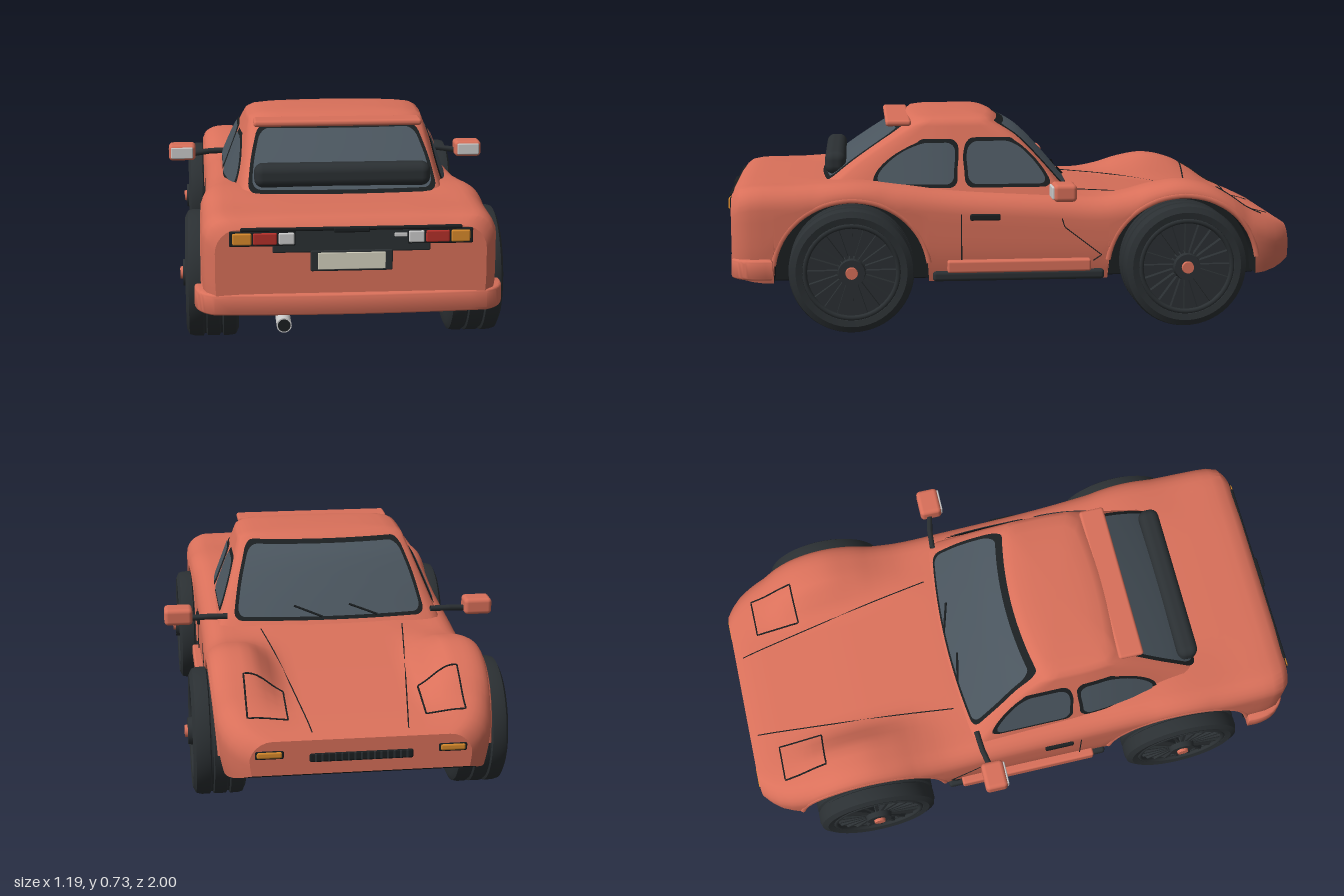
import * as THREE from 'three';
import { toCreasedNormals } from 'three/addons/utils/BufferGeometryUtils.js';
import { RoundedBoxGeometry } from 'three/addons/geometries/RoundedBoxGeometry.js';

const mat = (color) => new THREE.MeshStandardMaterial({ color, side: THREE.DoubleSide });
const PAINT = mat(0xd9705a), DARK = mat(0x2b3033), BLACK = mat(0x1b1f21), GLASS = mat(0x4a555e);
const AMBER = mat(0xd98a2b), RED = mat(0xb5302a), GREY = mat(0xcccccc), CREAM = mat(0xd6d3c0);
const V = (x, y, z) => new THREE.Vector3(x, y, z);

// smooth lookup in a table of [position, value]
function curve(t, tab) {
  const n = tab.length - 1;
  if (t <= tab[0][0]) return tab[0][1];
  if (t >= tab[n][0]) return tab[n][1];
  let i = 0;
  while (t > tab[i + 1][0]) i++;
  const slope = (j) => {
    const a = tab[Math.max(j - 1, 0)], b = tab[Math.min(j + 1, n)];
    return (b[1] - a[1]) / (b[0] - a[0]);
  };
  const [x0, y0] = tab[i], [x1, y1] = tab[i + 1], h = x1 - x0, s = (t - x0) / h, s2 = s * s, s3 = s2 * s;
  return (2 * s3 - 3 * s2 + 1) * y0 + (s3 - 2 * s2 + s) * h * slope(i)
    + (3 * s2 - 2 * s3) * y1 + (s3 - s2) * h * slope(i + 1);
}

// skin through rows of points
function loft(rows, closed = false, crease = 0.6) {
  const n = rows[0].length, pos = rows.flat().flatMap((p) => [p.x, p.y, p.z]), idx = [];
  for (let r = 0; r < rows.length - 1; r++)
    for (let c = 0; c < (closed ? n : n - 1); c++) {
      const a = r * n + c, b = r * n + (c + 1) % n;
      idx.push(a, b, a + n, b, b + n, a + n);
    }
  const g = new THREE.BufferGeometry();
  g.setAttribute('position', new THREE.Float32BufferAttribute(pos, 3));
  g.setIndex(idx);
  return toCreasedNormals(g, crease);
}

// body shape along z: centre height, fender height, half width, underside
const ARCHES = [0.56, -0.6], ARCH_R = 0.265, ARCH_Y = 0.2;
const centreY = (z) => curve(z, [[-1, 0.325], [-0.95, 0.345], [-0.8, 0.375], [-0.6, 0.41], [-0.4, 0.435], [-0.2, 0.457], [0.3, 0.48], [0.65, 0.5], [0.9, 0.5], [0.95, 0.492], [0.97, 0.47]]);
const fenderY = (z) => curve(z, [[-1, 0.325], [-0.95, 0.348], [-0.85, 0.392], [-0.78, 0.44], [-0.7, 0.482], [-0.6, 0.502], [-0.5, 0.488], [-0.4, 0.46], [-0.3, 0.446], [-0.15, 0.455], [0.2, 0.475], [0.4, 0.497], [0.55, 0.51], [0.75, 0.5], [0.9, 0.498], [0.95, 0.488], [0.97, 0.465]]);
const halfW = (z) => curve(z, [[-1, 0.36], [-0.97, 0.395], [-0.92, 0.43], [-0.83, 0.455], [-0.6, 0.465], [-0.2, 0.46], [0.3, 0.462], [0.6, 0.472], [0.88, 0.472], [0.94, 0.46], [0.97, 0.43]]);
const floorY = (z) => curve(z, [[-1, 0.21], [-0.95, 0.185], [-0.87, 0.168], [0.85, 0.168], [0.97, 0.19]]);
const deckY = (x, z) => THREE.MathUtils.lerp(centreY(z), fenderY(z), THREE.MathUtils.smoothstep(Math.abs(x), 0.2, 0.34));

function section(z) {
  const w = halfW(z), e = fenderY(z), low = floorY(z);
  let arch = low;
  for (const c of ARCHES) {
    const t = (z - c) / ARCH_R;
    if (Math.abs(t) <= 1) arch = Math.max(arch, ARCH_Y + 0.25 * Math.sqrt(1 - t * t));
  }
  const r = Math.min(0.075, e - arch - 0.005);
  const side = (y) => w - 0.02 * (Math.max(0, 0.3 - y) / 0.14) ** 2;
  const under = [V(0, low, z), V(0.335, low, z), V(0.335, arch, z), V(side(arch), arch, z)];
  const skin = [];
  for (let i = 0; i <= 6; i++) { const y = arch + (e - r - arch) * i / 6; skin.push(V(side(y), y, z)); }
  for (let i = 1; i <= 6; i++) { const a = i * Math.PI / 12; skin.push(V(w - 0.075 * (1 - Math.cos(a)), e - r + r * Math.sin(a), z)); }
  for (let i = 12; i >= 0; i--) { const x = (w - 0.075) * i / 12; skin.push(V(x, deckY(x, z) + (x > 0.33 ? e - deckY(x, z) : 0), z)); }
  const mirror = (pts) => pts.slice(0, -1).reverse().map((p) => V(-p.x, p.y, p.z));
  return { skin: [...skin, ...mirror(skin)], under: [...under.slice(1).reverse().map((p) => V(-p.x, p.y, p.z)), ...under] };
}

// cabin shape by height
const frontZ = (y) => curve(y, [[0.45, -0.235], [0.58, -0.125], [0.66, -0.045], [0.705, 0.03]]);
const backZ = (y) => curve(y, [[0.45, 0.715], [0.5, 0.66], [0.58, 0.56], [0.69, 0.39], [0.705, 0.36]]);
const sideX = (z, y) => 0.385 - 0.38 * (y - 0.5) - 0.05 * THREE.MathUtils.smoothstep(z, 0.2, 0.65);
const frontHalf = (y) => sideX(0, y) - 0.035;
const backHalf = (y) => sideX(backZ(y) - 0.05, y) - 0.035;
const onFront = (h, y, d) => V(h, y, frontZ(y) + 0.03 * (h / frontHalf(y)) ** 2 - d);
const onBack = (h, y, d) => V(h, y, backZ(y) - 0.02 * (h / backHalf(y)) ** 2 + d);
const onSide = (m) => (h, y, d) => V(m * (sideX(h, y) + d), y, h);

function cabinRing(y, k = 1) {
  const half = [], zf = frontZ(y), zb = backZ(y);
  for (let i = 0; i <= 6; i++) half.push(onFront(frontHalf(y) * i / 6, y, 0));
  half.push(V(sideX(0, y) - 0.008, y, zf + 0.045));
  for (let i = 0; i <= 8; i++) { const z = zf + 0.07 + (zb - zf - 0.13) * i / 8; half.push(V(sideX(z, y), y, z)); }
  half.push(V(backHalf(y) + 0.027, y, zb - 0.045));
  for (let i = 6; i >= 0; i--) half.push(onBack(backHalf(y) * i / 6, y, 0));
  const ring = [...half, ...half.slice(1, -1).reverse().map((p) => V(-p.x, p.y, p.z))];
  return ring.map((p) => V(p.x * k, p.y, 0.19 + (p.z - 0.19) * k));
}

// curved pane with rounded corners; rows are [height, start, end]
function pane(rows, map, grow, lift) {
  const y0 = rows[0][0] - grow, y1 = rows.at(-1)[0] + grow, c = 0.03, out = [];
  for (let i = 0; i <= 24; i++) {
    const y = y0 + (y1 - y0) * (1 - Math.cos(Math.PI * i / 24)) / 2;
    const k = Math.max(0, 1 - Math.min(y - y0, y1 - y) / c), inset = c * (1 - Math.sqrt(1 - k * k)) - grow;
    const a = curve(y, rows.map((r) => [r[0], r[1]])) + inset, b = curve(y, rows.map((r) => [r[0], r[2]])) - inset;
    out.push(Array.from({ length: 15 }, (_, j) => map(a + (b - a) * j / 14, y, lift)));
  }
  return loft(out);
}

export function createModel() {
  const car = new THREE.Group();
  const add = (name, geo, material, parent = car) => {
    const m = new THREE.Mesh(geo, material);
    m.name = name;
    parent.add(m);
    return m;
  };
  const box = (name, x0, x1, y0, y1, z0, z1, material, r = 0.005) => add(name,
    new RoundedBoxGeometry(x1 - x0, y1 - y0, z1 - z0, 3, r).translate((x0 + x1) / 2, (y0 + y1) / 2, (z0 + z1) / 2), material);
  const line = (name, pts, r = 0.002, material = BLACK) => add(name,
    new THREE.TubeGeometry(new THREE.CatmullRomCurve3(pts, false, 'catmullrom', 0), 32, r, 6), material);
  const both = (fn) => [1, -1].forEach(fn);
  const pair = (name, x0, x1, ...rest) => both((m) => box(name, Math.min(m * x0, m * x1), Math.max(m * x0, m * x1), ...rest));

  // body skin, wheel wells and end caps
  const stations = [-1, -0.985, -0.97, 0.96, 0.97];
  for (let z = -0.94; z < 0.95; z += 0.04) stations.push(z);
  for (const c of ARCHES) {
    for (let i = 0; i <= 20; i++) stations.push(c + ARCH_R * Math.cos(Math.PI * i / 20));
    stations.push(c - ARCH_R - 0.002, c + ARCH_R + 0.002);
  }
  const sections = stations.sort((a, b) => a - b).map(section);
  add('body', loft(sections.map((s) => s.skin)), PAINT);
  add('wheelWells', loft(sections.map((s) => s.under)), BLACK);
  for (const s of [sections[0], sections.at(-1)])
    add('endPanel', loft([s.skin, s.skin.map((p) => V(0, 0.28, p.z))], true), PAINT);
  box('undertray', -0.335, 0.335, 0.152, 0.175, -0.88, 0.86, BLACK);

  // cabin and glass
  const rings = [0.45, 0.48, 0.51, 0.54, 0.57, 0.6, 0.63, 0.66, 0.69, 0.705].map((y) => cabinRing(y));
  for (const [y, k] of [[0.715, 0.94], [0.722, 0.8], [0.726, 0.5], [0.727, 0]])
    rings.push(cabinRing(0.705, k).map((p) => V(p.x, y, p.z)));
  add('cabin', loft(rings, true, 0.8), PAINT);
  const glaze = (name, rows, map) => {
    add(name + 'Frame', pane(rows, map, 0.012, 0.004), BLACK);
    add(name, pane(rows, map, 0, 0.008), GLASS);
  };
  glaze('windscreen', [[0.48, -0.335, 0.335], [0.59, -0.31, 0.31], [0.692, -0.275, 0.275]], onFront);
  glaze('rearWindow', [[0.515, -0.305, 0.305], [0.6, -0.29, 0.29], [0.68, -0.265, 0.265]], onBack);
  both((m) => {
    glaze('doorWindow', [[0.495, -0.13, 0.15], [0.54, -0.105, 0.152], [0.59, -0.065, 0.155], [0.64, -0.01, 0.145]], onSide(m));
    glaze('quarterWindow', [[0.495, 0.2, 0.475], [0.54, 0.2, 0.455], [0.59, 0.195, 0.4], [0.635, 0.195, 0.32]], onSide(m));
  });
  box('roofSpoiler', -0.29, 0.29, 0.688, 0.71, 0.345, 0.435, PAINT, 0.01);
  box('rearWindowRoll', -0.295, 0.295, 0.52, 0.6, 0.575, 0.65, DARK, 0.03);
  for (const x of [-0.17, 0.03]) line('wiper', [onFront(x, 0.48, 0.012), onFront(x + 0.1, 0.515, 0.014)], 0.004);

  // wheels
  const profile = [[0.02, -0.07], [0.13, -0.07], [0.14, -0.08], [0.19, -0.085], [0.211, -0.075], [0.215, -0.06], [0.215, -0.034], [0.207, -0.03],
    [0.207, -0.024], [0.215, -0.02], [0.215, 0.02], [0.207, 0.024], [0.207, 0.03], [0.215, 0.034], [0.215, 0.062], [0.21, 0.08], [0.19, 0.09], [0.168, 0.086], [0.16, 0.05], [0.02, 0.05]];
  const tyre = toCreasedNormals(new THREE.LatheGeometry(profile.map((p) => new THREE.Vector2(...p)), 56).rotateZ(-Math.PI / 2), 0.6);
  for (const z of ARCHES) both((m) => {
    const wheel = new THREE.Group();
    wheel.name = 'wheel';
    wheel.position.set(m * 0.437, 0.215, z);
    if (m < 0) wheel.rotation.y = Math.PI;
    car.add(wheel);
    add('tyre', tyre, DARK, wheel);
    add('rim', new THREE.TorusGeometry(0.16, 0.009, 8, 48).rotateY(Math.PI / 2).translate(0.08, 0, 0), DARK, wheel);
    for (let i = 0; i < 20; i++)
      add('spoke', new THREE.BoxGeometry(0.025, 0.125, 0.011).translate(0.068, 0.1, 0).rotateX(i * Math.PI / 10), DARK, wheel);
    add('hub', new THREE.CylinderGeometry(0.045, 0.052, 0.05, 28).rotateZ(-Math.PI / 2).translate(0.075, 0, 0), DARK, wheel);
    add('hubCap', new THREE.CylinderGeometry(0.02, 0.023, 0.02, 20).rotateZ(-Math.PI / 2).translate(0.1, 0, 0), PAINT, wheel);
    // lip around the wheel opening
    line('archLip', Array.from({ length: 25 }, (_, i) => {
      const a = Math.PI * (0.04 + 0.92 * i / 24), lz = z + (ARCH_R + 0.004) * Math.cos(a);
      return V(m * (halfW(lz) - 0.007), ARCH_Y + 0.254 * Math.sin(a), lz);
    }), 0.01, PAINT);
  });

  // rear bumper, wrapped round the corners
  const plan = new THREE.Shape();
  plan.moveTo(-0.485, -0.84);
  plan.lineTo(0.485, -0.84);
  plan.quadraticCurveTo(0.49, -0.93, 0.43, -0.96);
  plan.quadraticCurveTo(0, -0.995, -0.43, -0.96);
  plan.quadraticCurveTo(-0.49, -0.93, -0.485, -0.84);
  const bumper = new THREE.ExtrudeGeometry(plan, { depth: 0.046, bevelSize: 0.012, bevelThickness: 0.012, bevelSegments: 4, curveSegments: 16 });
  add('rearBumper', toCreasedNormals(bumper.rotateX(-Math.PI / 2).translate(0, 0.197, 0), 0.6), PAINT);

  // tail panel, lamps and plate
  box('tailPanel', -0.25, 0.25, 0.388, 0.465, 0.955, 0.974, DARK);
  box('tailTrim', -0.35, 0.35, 0.458, 0.47, 0.955, 0.978, BLACK);
  box('bootHandle', -0.057, 0.057, 0.453, 0.47, 0.96, 0.985, BLACK);
  box('plateFrame', -0.13, 0.13, 0.327, 0.395, 0.955, 0.978, DARK);
  box('plate', -0.107, 0.107, 0.334, 0.388, 0.96, 0.982, CREAM, 0.002);
  pair('lampFrame', 0.175, 0.385, 0.41, 0.46, 0.95, 0.975, BLACK);
  pair('turnLamp', 0.315, 0.375, 0.416, 0.454, 0.955, 0.981, AMBER);
  pair('brakeLamp', 0.235, 0.31, 0.416, 0.454, 0.955, 0.981, RED);
  pair('reverseLamp', 0.18, 0.23, 0.416, 0.454, 0.955, 0.981, GREY);
  box('lockTrim', 0.135, 0.175, 0.436, 0.448, 0.96, 0.98, GREY, 0.002);
  add('exhaust', new THREE.CylinderGeometry(0.024, 0.024, 0.09, 24).rotateX(Math.PI / 2).translate(-0.215, 0.156, 0.945), GREY);
  add('exhaustBore', new THREE.CircleGeometry(0.02, 24).translate(-0.215, 0.156, 0.991), BLACK);

  // nose
  box('grille', -0.17, 0.17, 0.247, 0.283, -1.003, -0.98, BLACK, 0.01);
  for (let i = -7; i <= 7; i++) box('grilleRib', i * 0.021 - 0.003, i * 0.021 + 0.003, 0.252, 0.278, -1.006, -0.99, DARK, 0.001);
  pair('noseLampFrame', 0.245, 0.345, 0.262, 0.298, -1.002, -0.97, BLACK, 0.01);
  pair('noseLamp', 0.253, 0.337, 0.268, 0.292, -1.005, -0.98, AMBER, 0.008);

  // sides: sills, handles, mirrors and panel gaps
  pair('sill', 0.44, 0.484, 0.197, 0.24, -0.27, 0.23, PAINT, 0.008);
  pair('sillStrip', 0.4, 0.468, 0.165, 0.2, -0.32, 0.28, DARK, 0.012);
  pair('doorHandle', 0.45, 0.47, 0.378, 0.4, 0.045, 0.15, BLACK);
  pair('mirrorHousing', 0.495, 0.596, 0.458, 0.518, -0.205, -0.125, PAINT, 0.015);
  pair('mirrorGlass', 0.505, 0.587, 0.467, 0.509, -0.14, -0.12, GREY, 0.004);
  both((m) => {
    line('mirrorStalk', [V(m * 0.37, 0.485, -0.19), V(m * 0.44, 0.484, -0.185), V(m * 0.51, 0.477, -0.17)], 0.011, DARK);
    const gap = (pts) => line('panelGap', pts.map(([z, y]) => V(m * halfW(z), y, z)));
    gap([[0.18, 0.4], [0.18, 0.24]]);
    gap([[-0.17, 0.38], [-0.18, 0.35], [-0.31, 0.25], [-0.28, 0.23]]);
    const top = (name, x, z) => V(m * x, deckY(x, z) + 0.001, z);
    line('bonnetGap', Array.from({ length: 15 }, (_, i) => top('', 0.155 + 0.1 * i / 14, -0.97 + 0.72 * i / 14)));
    // outline of the hidden headlamp cover
    const corners = [[0.225, -0.9], [0.355, -0.9], [0.355, -0.74], [0.225, -0.74], [0.225, -0.9]], path = [];
    for (let i = 0; i < 4; i++) for (let j = 0; j < 6; j++)
      path.push(top('', ...[0, 1].map((k) => THREE.MathUtils.lerp(corners[i][k], corners[i + 1][k], j / 6))));
    add('headlampGap', new THREE.TubeGeometry(new THREE.CatmullRomCurve3(path, true, 'catmullrom', 0.1), 96, 0.003, 6, true), BLACK);
  });
  return car;
}
